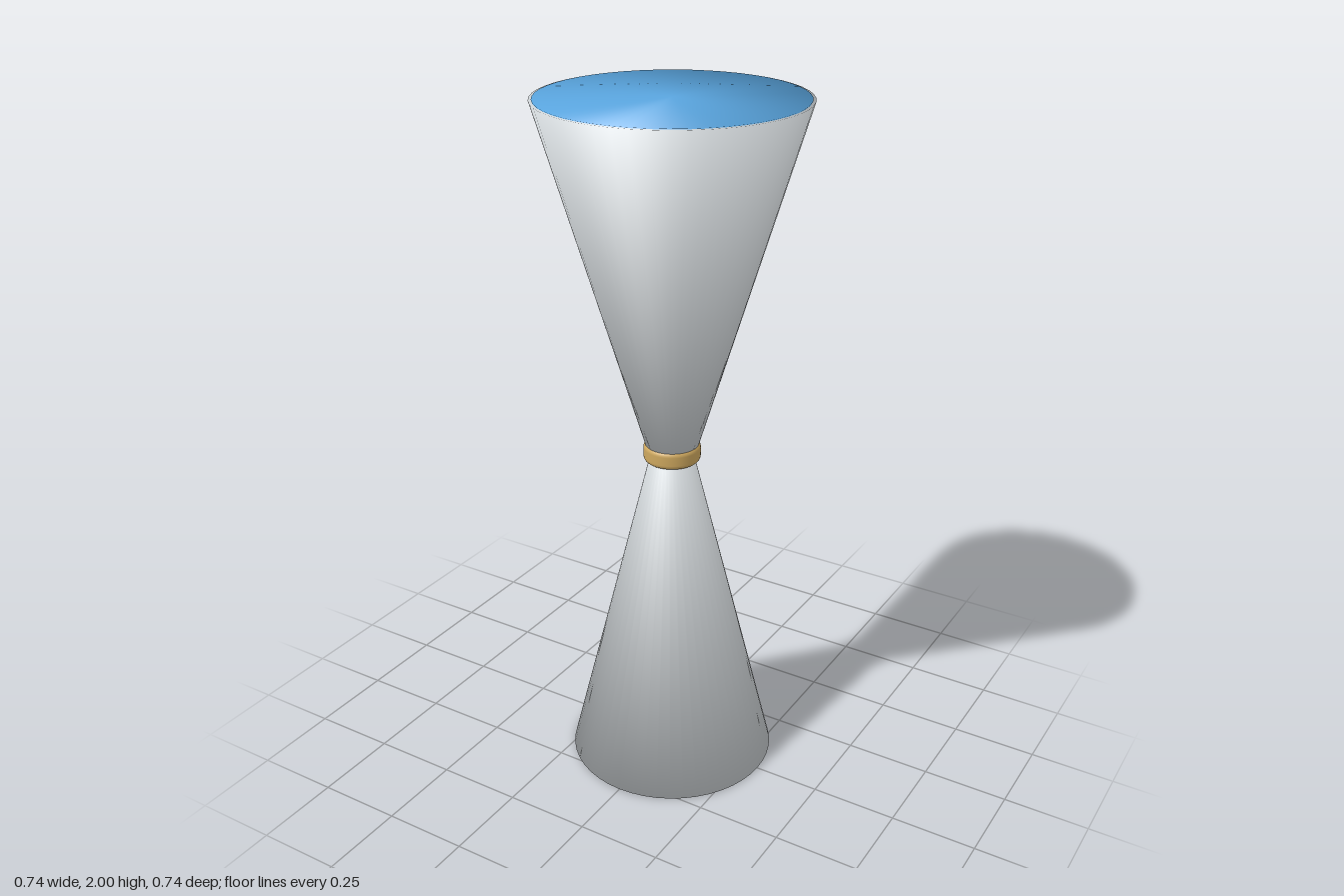
import * as THREE from 'three';

const SEGMENTS = 48;

const steel = new THREE.MeshStandardMaterial({ color: 0xcfd4d7 });
steel.name = 'brushed steel';
const blue = new THREE.MeshStandardMaterial({ color: 0x5aa6e0 });
blue.name = 'blue filling';
const brass = new THREE.MeshStandardMaterial({ color: 0xcda75e });
brass.name = 'brass';

// Closed cone frustum whose normals run softly from the wall onto the end discs
function softCone(rBottom, yBottom, rTop, yTop) {
  const points = [[0, yBottom], [rBottom, yBottom], [rTop, yTop], [0, yTop]]
    .map(([r, y]) => new THREE.Vector2(r, y));
  const geometry = new THREE.LatheGeometry(points, SEGMENTS);
  const wall = new THREE.Vector2(yTop - yBottom, rBottom - rTop).normalize();
  const down = new THREE.Vector2(0, -1);
  const up = new THREE.Vector2(0, 1);
  const profileNormals = [down, wall.clone().add(down).normalize(), wall.clone().add(up).normalize(), up];
  const normal = geometry.attributes.normal;
  for (let i = 0; i < normal.count; i++) {
    const n = profileNormals[i % 4];
    const a = Math.floor(i / 4) / SEGMENTS * Math.PI * 2;
    normal.setXYZ(i, n.x * Math.sin(a), n.y, n.x * Math.cos(a));
  }
  return geometry;
}

export function createModel() {
  const model = new THREE.Group();
  const add = (name, geometry, material) => {
    const mesh = new THREE.Mesh(geometry, material);
    mesh.name = name;
    model.add(mesh);
  };

  // Two steel cones meeting at the waist
  add('upperCup', softCone(0.07, 1, 0.368, 1.998), steel);
  add('lowerCup', softCone(0.305, 0.002, 0.059, 1), steel);

  // Blue fillings, level with each rim
  add('upperFilling', softCone(0.055, 1.02, 0.36, 2), blue);
  add('lowerFilling', softCone(0.297, 0, 0.045, 0.98), blue);

  // Rounded brass collar around the waist
  const profile = [new THREE.Vector2(0.045, 0.972)];
  for (const [cy, start] of [[0.987, -Math.PI / 2], [1.012, 0]]) {
    for (let i = 0; i <= 5; i++) {
      const a = start + i / 5 * Math.PI / 2;
      profile.push(new THREE.Vector2(0.067 + 0.015 * Math.cos(a), cy + 0.015 * Math.sin(a)));
    }
  }
  profile.push(new THREE.Vector2(0.045, 1.027));
  add('collar', new THREE.LatheGeometry(profile, SEGMENTS), brass);

  return model;
}
